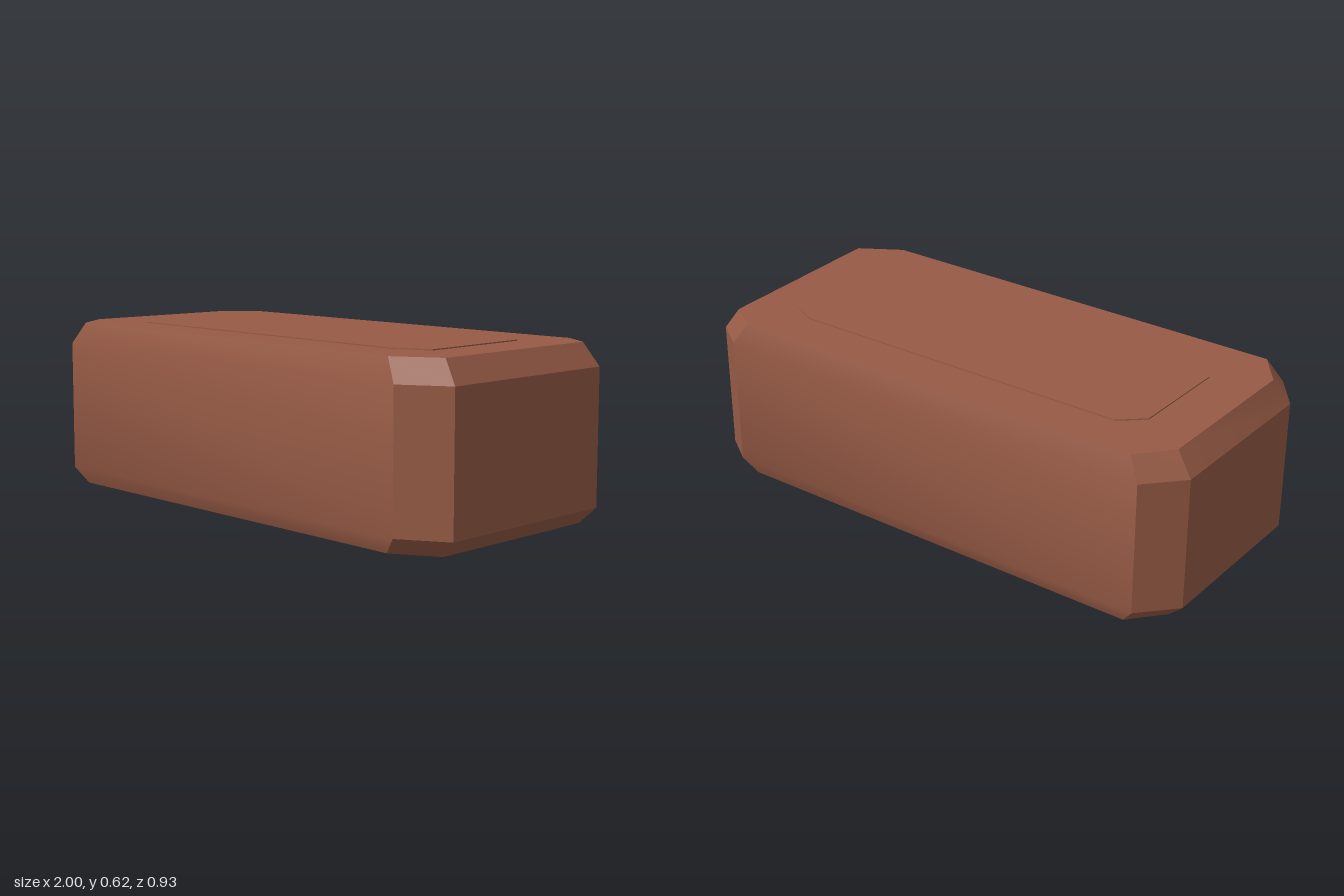
import * as THREE from 'three';
import { toCreasedNormals } from 'three/addons/utils/BufferGeometryUtils.js';

// Slightly skewed octagonal outlines as [x, z], clockwise seen from above
const OUTER = [[-1, -0.31], [-0.885, -0.435], [0.83, -0.465], [0.95, -0.387],
  [1, 0.362], [0.84, 0.463], [-0.9, 0.463], [-1, 0.328]];
const INNER = [[-0.94, -0.293], [-0.84, -0.41], [0.78, -0.438], [0.895, -0.365],
  [0.94, 0.342], [0.787, 0.436], [-0.845, 0.436], [-0.94, 0.308]];

const ring = (outline, y, sx = 1, sz = 1) => outline.map(([x, z]) => [x * sx, y, z * sz]);

// Closed solid from stacked rings, bottom to top, with flat caps
function loft(rings) {
  const pos = [];
  const tri = (a, b, c) => pos.push(...a, ...b, ...c);
  const n = rings[0].length;
  for (let r = 0; r < rings.length - 1; r++) {
    const lo = rings[r], hi = rings[r + 1];
    for (let i = 0; i < n; i++) {
      const j = (i + 1) % n;
      tri(lo[i], hi[i], hi[j]);
      tri(lo[i], hi[j], lo[j]);
    }
  }
  const bottom = rings[0], top = rings[rings.length - 1];
  for (let i = 1; i < n - 1; i++) {
    tri(bottom[0], bottom[i], bottom[i + 1]);
    tri(top[0], top[i + 1], top[i]);
  }
  const geo = new THREE.BufferGeometry();
  geo.setAttribute('position', new THREE.Float32BufferAttribute(pos, 3));
  return toCreasedNormals(geo, THREE.MathUtils.degToRad(30));
}

export function createModel() {
  const group = new THREE.Group();
  group.name = 'brick';
  const clay = new THREE.MeshStandardMaterial({ color: 0x965a45 });
  clay.name = 'clay';

  // Main block with bevelled top and bottom edges
  const body = new THREE.Mesh(loft([
    ring(INNER, 0), ring(OUTER, 0.058), ring(OUTER, 0.535), ring(INNER, 0.615),
  ]), clay);
  body.name = 'brickBody';

  // Thin raised panel on the top face
  const panel = new THREE.Mesh(loft([
    ring(INNER, 0.612, 0.81, 0.625), ring(INNER, 0.619, 0.81, 0.625),
  ]), clay);
  panel.name = 'topPanel';

  group.add(body, panel);
  return group;
}
